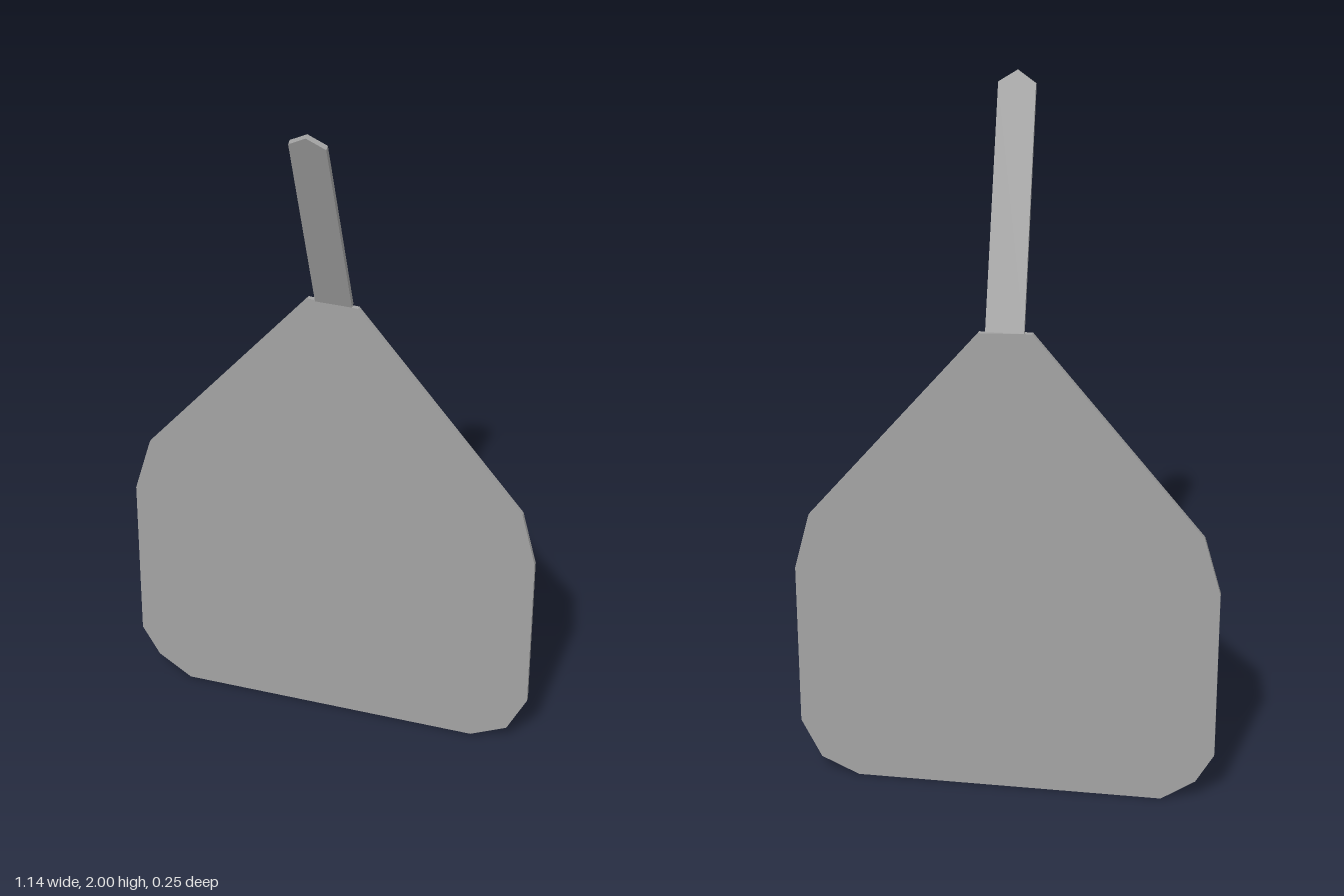
import * as THREE from 'three';

const material = new THREE.MeshStandardMaterial({ color: 0xa3a3a3, flatShading: true });

// Flat plate cut from an outline, its front face at z = 0
function plate(name, outline, thickness) {
  const shape = new THREE.Shape(outline.map(([x, y]) => new THREE.Vector2(x, y)));
  const geometry = new THREE.ExtrudeGeometry(shape, { depth: thickness, bevelEnabled: false });
  geometry.translate(0, 0, -thickness);
  const mesh = new THREE.Mesh(geometry, material);
  mesh.name = name;
  return mesh;
}

export function createModel() {
  const group = new THREE.Group();
  group.name = 'paddle';

  // Broad blade with clipped, slightly uneven corners
  const blade = plate('blade', [
    [-0.428, 0], [0.412, 0], [0.515, 0.05], [0.57, 0.165], [0.57, 0.648], [0.529, 0.81],
    [0.069, 1.375], [-0.069, 1.381], [-0.524, 0.823], [-0.57, 0.658], [-0.57, 0.154], [-0.521, 0.065],
  ], 0.012);
  blade.position.z = -0.11;
  group.add(blade);

  // Narrow handle with a pointed tip, leaning forward from the blade's neck
  const handle = plate('handle', [
    [-0.05, 0], [0.05, 0], [0.048, 0.63], [0, 0.662], [-0.048, 0.63],
  ], 0.014);
  handle.position.set(0.002, 1.376, -0.11);
  handle.rotation.x = 0.36;
  group.add(handle);

  return group;
}
